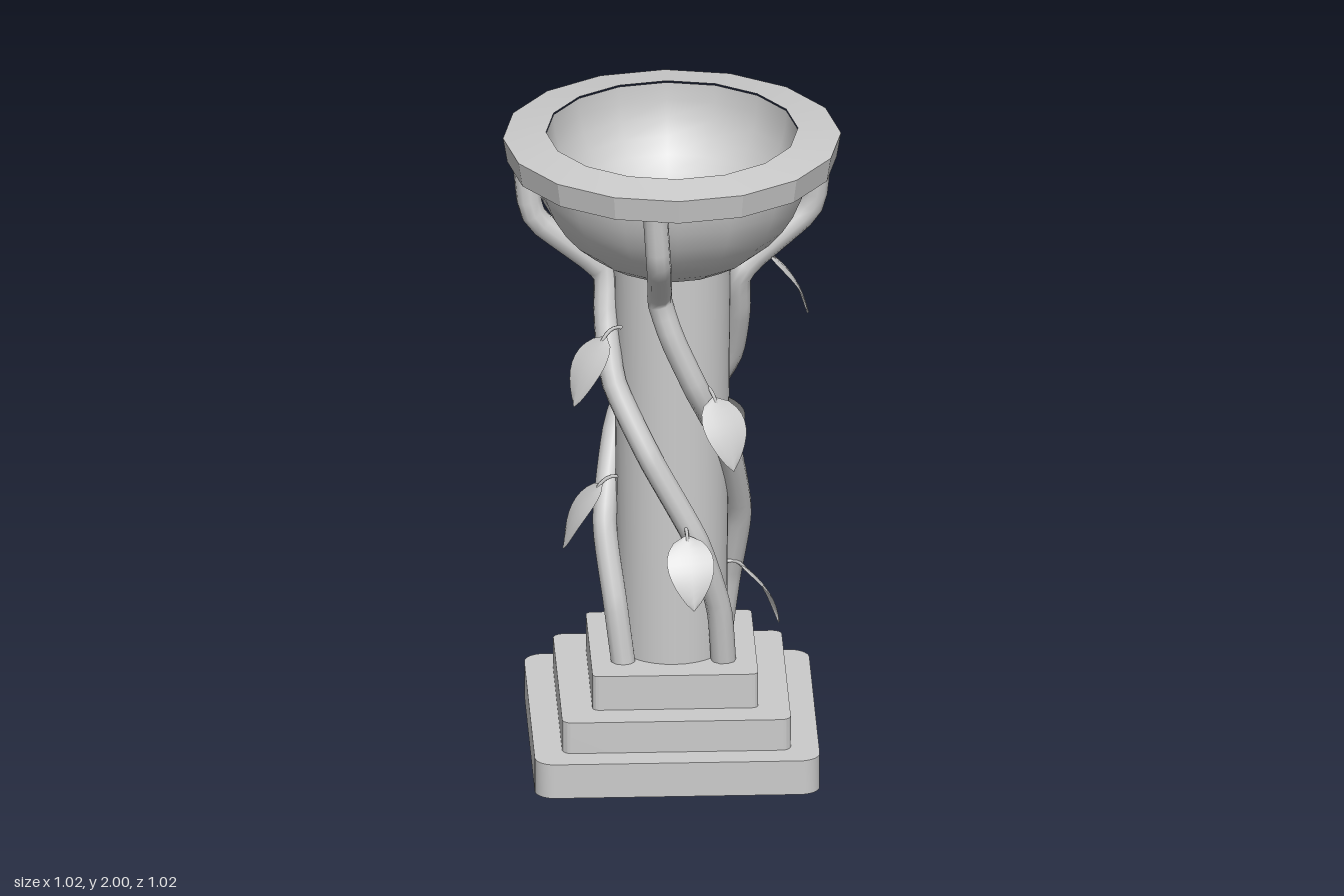
import * as THREE from 'three';
import { toCreasedNormals } from 'three/addons/utils/BufferGeometryUtils.js';

const rad = THREE.MathUtils.degToRad;
const V2 = (x, y) => new THREE.Vector2(x, y);

// Point at an angle (from +x towards +z), height and distance from the axis
const polar = (deg, y, r) => new THREE.Vector3(r * Math.cos(rad(deg)), y, r * Math.sin(rad(deg)));

// Square slab with rounded upright corners
function slab(half, corner, y0, y1) {
  const s = new THREE.Shape();
  const k = half - corner;
  s.absarc(k, k, corner, 0, Math.PI / 2);
  s.absarc(-k, k, corner, Math.PI / 2, Math.PI);
  s.absarc(-k, -k, corner, Math.PI, Math.PI * 1.5);
  s.absarc(k, -k, corner, Math.PI * 1.5, Math.PI * 2);
  const g = new THREE.ExtrudeGeometry(s, { depth: y1 - y0, bevelEnabled: false, curveSegments: 5 });
  g.rotateX(-Math.PI / 2).translate(0, y0, 0);
  return toCreasedNormals(g, 0.6);
}

// Quarter-circle bowl profile from the bottom up to the rim
function bowlProfile(radius, depth, topY) {
  const pts = [];
  for (let i = 0; i <= 10; i++) {
    const a = (i / 10) * Math.PI / 2;
    pts.push(V2(radius * Math.sin(a), topY - depth * Math.cos(a)));
  }
  return pts;
}

// Curved, pointed leaf hanging from its own origin
function leafGeometry() {
  const length = 0.235;
  const g = new THREE.PlaneGeometry(2, 1, 4, 10);
  const p = g.attributes.position;
  for (let i = 0; i < p.count; i++) {
    const t = 0.5 - p.getY(i);
    const side = p.getX(i);
    const w = 0.072 * Math.pow(Math.max(0, Math.sin(Math.PI * Math.pow(t, 0.75))), 0.8);
    p.setXYZ(i, side * w, -t * length, 0.022 * Math.sin(Math.PI * t) - 0.006 * side * side);
  }
  g.computeVertexNormals();
  return g;
}

export function createModel() {
  const model = new THREE.Group();
  const grey = new THREE.MeshStandardMaterial({ color: 0xcccccc });
  const thin = new THREE.MeshStandardMaterial({ color: 0xcccccc, side: THREE.DoubleSide });
  const add = (name, geometry, material = grey, parent = model) => {
    const m = new THREE.Mesh(geometry, material);
    m.name = name;
    parent.add(m);
    return m;
  };

  // Stepped base
  add('baseStepLower', slab(0.43, 0.06, 0, 0.11));
  add('baseStepMiddle', slab(0.345, 0.03, 0.11, 0.21));
  add('baseStepUpper', slab(0.25, 0.02, 0.21, 0.32));

  // Column
  add('column', new THREE.CylinderGeometry(0.177, 0.165, 1.27, 32).translate(0, 0.945, 0));

  // Bowl: outer shell, hollow inside and faceted rim
  add('bowlOutside', new THREE.LatheGeometry(bowlProfile(0.435, 0.42, 1.96), 16));
  add('bowlInside', new THREE.LatheGeometry(bowlProfile(0.38, 0.35, 1.995), 16), thin);
  const rim = [V2(0.38, 1.905), V2(0.497, 1.905), V2(0.51, 1.982), V2(0.38, 2)];
  add('rim', toCreasedNormals(new THREE.LatheGeometry(rim, 16), 0.2));

  // Four vines spiralling up the column and branching out under the rim: angle, height, radius
  const path = [
    [-40, 0.3, 0.197], [-31, 0.5, 0.205], [-8, 0.74, 0.207], [32, 1.0, 0.195],
    [70, 1.22, 0.207], [92, 1.4, 0.203], [103, 1.52, 0.2], [101, 1.58, 0.245],
    [98, 1.71, 0.398], [98, 1.77, 0.43], [99, 1.92, 0.445],
  ];
  for (const offset of [0, 80, 180, 260]) {
    const curve = new THREE.CatmullRomCurve3(
      path.map(([a, y, r]) => polar(a + offset, y, r)), false, 'catmullrom', 0.3);
    add('vine', new THREE.TubeGeometry(curve, 40, 0.038, 10), thin);
  }

  // Leaves on short stems: angle, height, distance from the axis
  const leaf = leafGeometry();
  const stem = new THREE.TubeGeometry(new THREE.QuadraticBezierCurve3(
    new THREE.Vector3(0, 0.012, -0.06), new THREE.Vector3(0, 0.03, -0.015),
    new THREE.Vector3(0, -0.02, 0.014)), 6, 0.006, 5);
  const leaves = [
    [146, 1.39, 0.25], [62, 1.22, 0.25], [-15, 0.55, 0.22], [82, 0.78, 0.25], [-9, 1.57, 0.3],
    [-58, 1.06, 0.25], [239, 0.67, 0.25], [270, 1.37, 0.24], [168, 0.87, 0.22],
  ];
  for (const [angle, y, r] of leaves) {
    const sprig = new THREE.Group();
    sprig.name = 'leafSprig';
    sprig.position.copy(polar(angle, y, r));
    sprig.rotation.y = rad(90 - angle);
    add('leaf', leaf, thin, sprig).rotation.x = -0.54;
    add('leafStem', stem, thin, sprig);
    model.add(sprig);
  }

  return model;
}
